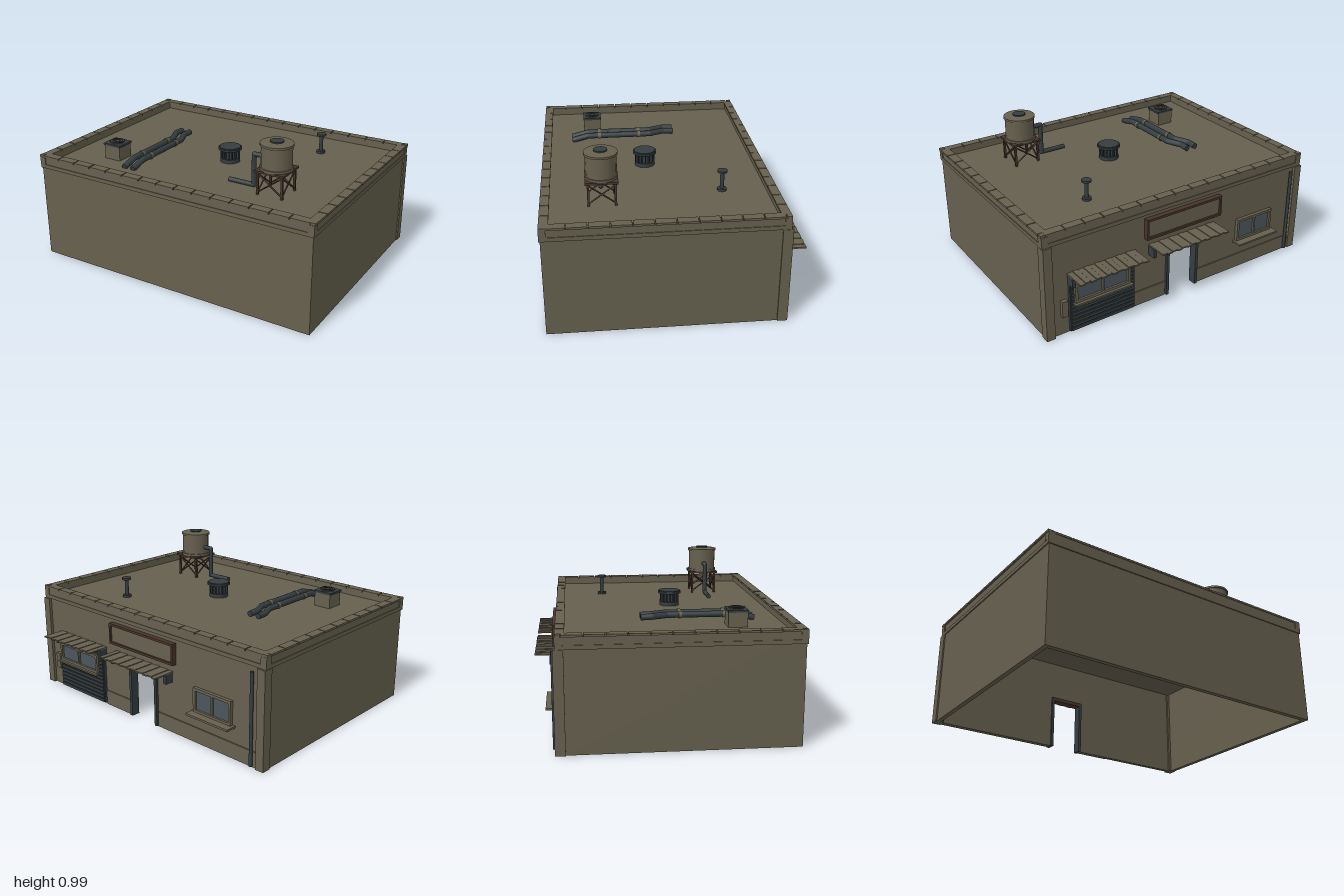
import * as THREE from 'three';

const mat = (name, color) => Object.assign(new THREE.MeshStandardMaterial({ color }), { name });

export function createModel() {
  const wallMat = mat('drab concrete', 0x66604e);
  const metal = mat('dark metal', 0x353d40);
  const rust = mat('rusty brown', 0x4a342b);
  const glass = mat('dull glass', 0x4a565d);
  const root = new THREE.Group();
  root.name = 'shopBuilding';

  const group = (name, x = 0, y = 0, z = 0) => {
    const g = new THREE.Group();
    g.name = name;
    g.position.set(x, y, z);
    root.add(g);
    return g;
  };
  const add = (parent, name, geo, m, x = 0, y = 0, z = 0) => {
    const mesh = new THREE.Mesh(geo, m);
    mesh.name = name;
    mesh.position.set(x, y, z);
    parent.add(mesh);
    return mesh;
  };
  // Box given by its limits on each axis
  const box = (p, name, m, x0, x1, y0, y1, z0, z1) =>
    add(p, name, new THREE.BoxGeometry(x1 - x0, y1 - y0, z1 - z0), m, (x0 + x1) / 2, (y0 + y1) / 2, (z0 + z1) / 2);
  // Upright cylinder between two heights
  const drum = (p, name, m, r, y0, y1, x = 0, z = 0, sides = 20, rTop = r) =>
    add(p, name, new THREE.CylinderGeometry(rTop, r, y1 - y0, sides), m, x, (y0 + y1) / 2, z);
  // Round bar between two points
  const rod = (p, name, m, a, b, r, sides = 10) => {
    const va = new THREE.Vector3(...a), vb = new THREE.Vector3(...b);
    const d = vb.clone().sub(va);
    const mesh = add(p, name, new THREE.CylinderGeometry(r, r, d.length(), sides), m);
    mesh.position.copy(va).add(vb).multiplyScalar(0.5);
    mesh.quaternion.setFromUnitVectors(new THREE.Vector3(0, 1, 0), d.normalize());
    return mesh;
  };
  // Pipe run with round elbows
  const pipe = (p, name, m, pts, r) => pts.forEach((a, i) => {
    if (i) rod(p, name, m, pts[i - 1], a, r, 12);
    if (i && i < pts.length - 1) add(p, name + 'Elbow', new THREE.SphereGeometry(r, 12, 8), m, ...a);
  });

  const W = 0.988, F = 0.785, B = -0.648, T = 0.03, DECK = 0.66;

  // Shell, open underneath, with a doorway in the back wall
  const shell = group('shell');
  box(shell, 'frontWall', wallMat, -W, W, 0, 0.7, F - T, F);
  for (const s of [-1, 1]) {
    const side = box(shell, 'sideWall', wallMat, W - T, W, 0, 0.7, B + T, F - T);
    side.position.x *= s;
    const back = box(shell, 'backWall', wallMat, 0.115, W, 0, 0.7, B, B + T);
    back.position.x *= s;
    const pilaster = box(shell, 'cornerPilaster', wallMat, 0.94, 0.997, 0, 0.627, -0.667, -0.605);
    pilaster.position.x *= s;
    const plinth = box(shell, 'wallPlinth', wallMat, s > 0 ? 0.13 : -0.94, s > 0 ? 0.37 : -0.13, 0, 0.1, B - 0.008, B);
    plinth.position.y = 0.05;
  }
  box(shell, 'wallOverDoor', wallMat, -0.115, 0.115, 0.36, 0.7, B, B + T);
  box(shell, 'roofDeck', wallMat, -W + T, W - T, 0.635, DECK, B + T, F - T);

  // Cornice, parapet lining and coping blocks
  const parapet = group('parapet');
  const ring = (name, out, inn, y0, y1) => {
    const s = new THREE.Shape();
    const rect = (q, d) => q.moveTo(-W - d, -F - d).lineTo(W + d, -F - d).lineTo(W + d, -B + d).lineTo(-W - d, -B + d).closePath();
    rect(s, out);
    const h = new THREE.Path();
    rect(h, -inn);
    s.holes.push(h);
    const geo = new THREE.ExtrudeGeometry(s, { depth: y1 - y0, bevelEnabled: false });
    geo.rotateX(-Math.PI / 2);
    add(parapet, name, geo, wallMat, 0, y0, 0);
  };
  ring('corniceLip', 0.007, 0.004, 0.627, 0.652);
  ring('parapetLining', 0.002, 0.042, 0.652, 0.7);
  for (const sx of [-1, 1]) for (const z of [F - 0.014, B + 0.014])
    add(parapet, 'cornerPost', new THREE.BoxGeometry(0.042, 0.048, 0.042), wallMat, sx * 0.975, 0.676, z);
  const copings = (n, a, b, place) => {
    const step = (b - a) / n;
    for (let i = 0; i < n; i++) place(a + i * step + 0.003, a + (i + 1) * step - 0.003);
  };
  copings(15, -0.97, 0.97, (a, b) => {
    box(parapet, 'copingBlock', wallMat, a, b, 0.7, 0.713, F - 0.05, F + 0.006);
    box(parapet, 'copingBlock', wallMat, a, b, 0.7, 0.713, B - 0.006, B + 0.05);
  });
  copings(11, -0.62, 0.765, (a, b) => {
    for (const s of [-1, 1]) {
      const m = box(parapet, 'copingBlock', wallMat, 0.943, 1, 0.7, 0.713, a, b);
      m.position.x *= s;
    }
  });
  for (const sx of [-1, 1]) for (const z of [F - 0.01, B + 0.01])
    add(parapet, 'cornerCoping', new THREE.BoxGeometry(0.03, 0.016, 0.03), wallMat, sx * 0.984, 0.707, z);

  // Doorway frame
  const door = group('doorway');
  for (const s of [-1, 1]) {
    const jamb = box(door, 'doorJamb', metal, 0.105, 0.125, 0, 0.36, B - 0.018, B + T + 0.01);
    jamb.position.x *= s;
  }
  box(door, 'doorLintel', rust, -0.125, 0.125, 0.345, 0.37, B - 0.02, B + T + 0.01);

  // Corrugated awnings on brackets
  const awning = (x0, x1, n) => {
    const g = group('awning');
    const step = (x1 - x0) / n;
    for (let i = 0; i < n; i++) {
      const up = i % 2 ? 0.003 : 0;
      box(g, 'awningSlat', wallMat, x0 + i * step, x0 + (i + 1) * step - 0.003, 0.403 + up, 0.412 + up, -0.8 + up, B);
    }
    for (const x of [x0 + 0.015, x1 - 0.015])
      box(g, 'awningBracket', metal, x - 0.012, x + 0.012, 0.34, 0.403, -0.705, B);
    return g;
  };
  awning(-0.26, 0.26, 14);
  awning(0.36, 0.84, 13);

  // Roller shutter with a serving window and counter
  const shutter = group('rollerShutter');
  box(shutter, 'shutterPanel', metal, 0.375, 0.835, 0.01, 0.4, -0.667, B);
  for (let i = 0; i < 14; i++)
    box(shutter, 'shutterSlat', metal, 0.38, 0.83, 0.015 + i * 0.027, 0.034 + i * 0.027, -0.676, -0.667);
  box(shutter, 'servingCounter', wallMat, 0.41, 0.82, 0.204, 0.215, -0.71, -0.66);

  // Framed window made of two panes
  const framedWindow = (x0, x1, y0, y1, z, name) => {
    const g = group(name);
    const t = 0.018, xm = (x0 + x1) / 2;
    box(g, 'windowGlass', glass, x0 + t, x1 - t, y0 + t, y1 - t, z, z + 0.008);
    for (const [a, b] of [[x0, x0 + t], [xm - 0.006, xm + 0.006], [x1 - t, x1]])
      box(g, 'windowUpright', wallMat, a, b, y0, y1, z - 0.014, z + 0.008);
    for (const y of [y0, y1 - t]) box(g, 'windowRail', wallMat, x0, x1, y, y + t, z - 0.014, z + 0.008);
    return g;
  };
  framedWindow(0.42, 0.81, 0.215, 0.345, -0.678, 'servingWindow');
  const win = framedWindow(-0.75, -0.45, 0.21, 0.37, -0.657, 'sideWindow');
  box(win, 'windowSill', wallMat, -0.77, -0.435, 0.2, 0.213, -0.72, B);

  // Blank sign board
  const sign = group('signBoard');
  box(sign, 'signPanel', wallMat, -0.28, 0.28, 0.475, 0.59, -0.67, B);
  for (const y of [0.465, 0.59]) box(sign, 'signFrame', rust, -0.29, 0.29, y, y + 0.015, -0.682, B);
  for (const x of [-0.29, 0.277]) box(sign, 'signFrame', rust, x, x + 0.013, 0.465, 0.605, -0.682, B);

  // Meter box and drain pipe
  box(root, 'meterBox', wallMat, 0.85, 0.89, 0.13, 0.24, -0.672, B);
  rod(root, 'drainPipe', metal, [-0.905, 0.01, -0.668], [-0.905, 0.6, -0.668], 0.011);

  // Water tank on a braced stand
  const tank = group('waterTank', 0.56, 0, 0.42);
  const body = drum(tank, 'tankBody', wallMat.clone(), 0.096, 0.82, 0.978, 0, 0, 16);
  body.material = wallMat;
  for (const y of [0.818, 0.966]) drum(tank, 'tankBand', wallMat, 0.103, y, y + 0.014, 0, 0, 24);
  drum(tank, 'tankRoof', wallMat, 0.1, 0.98, 0.987, 0, 0, 24, 0.045);
  drum(tank, 'tankLid', metal, 0.042, 0.984, 0.994);
  box(tank, 'standPlatform', rust, -0.1, 0.1, 0.805, 0.818, -0.1, 0.1);
  const L = 0.082;
  for (const sx of [-1, 1]) for (const sz of [-1, 1]) {
    box(tank, 'standLeg', rust, sx * L - 0.007, sx * L + 0.007, DECK, 0.806, sz * L - 0.007, sz * L + 0.007);
    rod(tank, 'standBrace', rust, [-sx * L, DECK + 0.015, sz * L], [sx * L, 0.795, sz * L], 0.005, 6);
    rod(tank, 'standBrace', rust, [sx * L, DECK + 0.015, -sz * L], [sx * L, 0.795, sz * L], 0.005, 6);
  }
  pipe(tank, 'tankPipe', metal, [[-0.08, 0.878, 0], [-0.153, 0.878, 0], [-0.153, 0.677, 0], [-0.33, 0.677, 0]], 0.015);

  // Twin roof ducts with clamps
  const ducts = group('roofDucts');
  for (const x of [-0.46, -0.393]) {
    pipe(ducts, 'duct', metal, [[x, 0.67, 0.59], [x, 0.698, 0.48], [x, 0.698, 0.04],
      [x - 0.042, 0.698, -0.06], [x - 0.042, 0.695, -0.13]], 0.02);
    for (const z of [0.12, 0.4]) rod(ducts, 'ductClamp', wallMat, [x, 0.698, z - 0.01], [x, 0.698, z + 0.01], 0.024, 12);
  }

  // Square fan unit
  const fan = group('fanUnit', -0.625, 0, 0.445);
  box(fan, 'fanHousing', wallMat, -0.06, 0.06, DECK, 0.752, -0.06, 0.06);
  box(fan, 'fanCover', metal, -0.067, 0.067, 0.752, 0.766, -0.063, 0.063);
  drum(fan, 'fanGrille', wallMat, 0.046, 0.766, 0.772);
  for (const r of [0.018, 0.032, 0.046]) {
    const guard = add(fan, 'fanGuard', new THREE.TorusGeometry(r, 0.003, 6, 24), metal, 0, 0.773, 0);
    guard.rotation.x = Math.PI / 2;
  }

  // Round louvred vent
  const vent = group('roundVent', 0.052, 0, 0.115);
  drum(vent, 'ventBase', metal, 0.066, DECK, 0.685);
  drum(vent, 'ventCore', metal, 0.052, 0.685, 0.745);
  for (let i = 0; i < 16; i++) {
    const a = i / 16 * Math.PI * 2;
    const fin = add(vent, 'ventFin', new THREE.BoxGeometry(0.014, 0.065, 0.006), metal, 0.058 * Math.cos(a), 0.715, 0.058 * Math.sin(a));
    fin.rotation.y = -a;
  }
  drum(vent, 'ventCap', metal, 0.078, 0.744, 0.757, 0, 0, 24);
  drum(vent, 'ventCapTop', metal, 0.07, 0.757, 0.763, 0, 0, 24);

  // Small mushroom vent
  const stack = group('ventStack', 0.502, 0, -0.33);
  drum(stack, 'stackFoot', metal, 0.03, DECK, 0.675);
  drum(stack, 'stackPipe', metal, 0.013, 0.67, 0.785);
  drum(stack, 'stackCap', metal, 0.032, 0.783, 0.796);

  return root;
}
